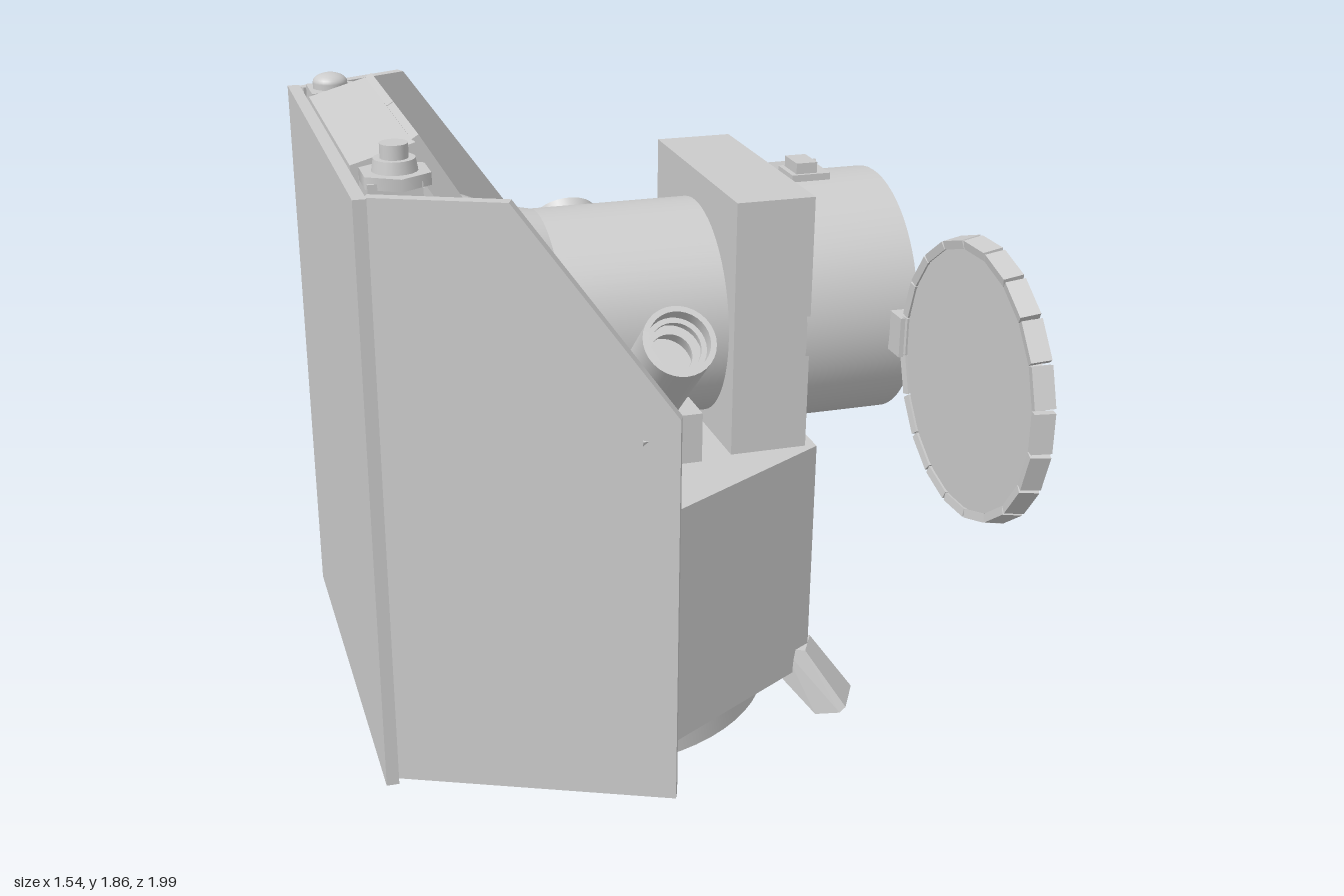
import * as THREE from 'three';
import { toCreasedNormals } from 'three/addons/utils/BufferGeometryUtils.js';
import { ConvexGeometry } from 'three/addons/geometries/ConvexGeometry.js';

const material = new THREE.MeshStandardMaterial({ color: 0xcccccc });
const thin = new THREE.MeshStandardMaterial({ color: 0xcccccc, side: THREE.DoubleSide });

export function createModel() {
  const model = new THREE.Group();
  const craft = new THREE.Group();
  craft.name = 'spaceTelescope';
  craft.position.z = -0.12; // symmetry plane of the craft
  model.add(craft);

  const add = (name, geometry, parent = craft, mat = material) => {
    const mesh = new THREE.Mesh(geometry, mat);
    mesh.name = name;
    parent.add(mesh);
    return mesh;
  };
  // box given by its extents
  const box = (name, x0, x1, y0, y1, z0, z1, parent) => {
    const mesh = add(name, new THREE.BoxGeometry(x1 - x0, y1 - y0, z1 - z0), parent);
    mesh.position.set((x0 + x1) / 2, (y0 + y1) / 2, (z0 + z1) / 2);
    return mesh;
  };
  const cylinder = (name, r0, r1, y0, y1, x, z, sides, parent) => {
    const geometry = new THREE.CylinderGeometry(r1, r0, y1 - y0, sides);
    const mesh = add(name, geometry, parent);
    mesh.position.set(x, (y0 + y1) / 2, z);
    return mesh;
  };
  const extrude = (points, depth) => new THREE.ExtrudeGeometry(
    new THREE.Shape(points.map(([x, y]) => new THREE.Vector2(x, y))),
    { depth, bevelEnabled: false });
  const lathe = (profile, sides) => toCreasedNormals(new THREE.LatheGeometry(
    profile.map(([r, y]) => new THREE.Vector2(r, y)), sides), 0.5);
  // square bar between two points
  const bar = (name, a, b, w, h, parent) => {
    const from = new THREE.Vector3(...a), to = new THREE.Vector3(...b);
    const mesh = add(name, new THREE.BoxGeometry(w, h, from.distanceTo(to)), parent);
    mesh.position.copy(from).lerp(to, 0.5);
    mesh.quaternion.setFromUnitVectors(new THREE.Vector3(0, 0, 1), to.sub(from).normalize());
    return mesh;
  };

  // Body: hexagonal front half that widens to meet the shield panels
  const half = [[0.49, 0.35], [-0.07, 0.67], [-0.07, 0.85], [-0.74, 0.57]];
  const outline = [...half, ...half.map(([x, z]) => [x, -z]).reverse()];
  const body = extrude(outline, 0.69);
  body.rotateX(-Math.PI / 2);
  add('body', body).position.y = 0.2;
  box('frontPanel', 0.48, 0.54, 0.34, 0.49, -0.075, 0.075);

  // Launch adapter ring with pins and connector box
  const adapter = add('adapterRing', lathe([[0, 0.06], [0.31, 0.06], [0.57, 0.11], [0.57, 0.21]], 64));
  adapter.position.x = -0.12;
  for (let i = 0; i < 4; i++) {
    const a = i * Math.PI / 2;
    cylinder('adapterPin', 0.018, 0.018, 0.006, 0.07,
      -0.12 + 0.28 * Math.cos(a), 0.28 * Math.sin(a), 12);
  }
  box('connectorBox', -0.37, -0.19, 0, 0.07, -0.3, -0.08);

  // Sun shield
  box('backPanel', -0.775, -0.742, 0.19, 1.76, -0.6, 0.6);
  for (const s of [1, -1]) {
    const side = new THREE.Group();
    side.name = s > 0 ? 'frontSide' : 'rearSide';
    side.scale.z = s;
    craft.add(side);

    const panel = add('sidePanel', extrude(
      [[0, 0.2], [0.73, 0.2], [0.73, 1.25], [0.335, 1.76], [0, 1.76]], 0.03), side);
    panel.position.set(-0.735, 0, 0.56);
    panel.rotation.y = -0.41;
    bar('shieldStrut', [-0.62, 1.73, 0.49], [-0.09, 0.88, 0.69], 0.045, 0.08, side);
    bar('shieldBrace', [-0.12, 0.88, 0.69], [-0.12, 1.2, 0.83], 0.08, 0.04, side);
    box('shieldBracket', -0.73, -0.6, 1.56, 1.775, 0.41, 0.54, side);

    // Equipment on the deck
    box('deckBox', -0.31, -0.08, 0.88, 1.01, 0.37, 0.6, side);
    box('trackerMount', -0.05, 0.155, 0.88, 1.03, 0.16, 0.36, side);

    // Star tracker: hollow tilted tube with baffle rings
    const tracker = add('starTracker', lathe([[0, 0], [0.095, 0], [0.095, 0.47], [0.08, 0.47],
      [0.08, 0.43], [0.066, 0.43], [0.066, 0.42], [0.08, 0.42], [0.08, 0.38], [0.055, 0.38],
      [0.055, 0.37], [0.075, 0.37], [0.075, 0.3], [0, 0.3]], 32), side, thin);
    tracker.position.set(0.02, 1.01, 0.215);
    tracker.rotation.x = 0.84;

    // Foot wedge on the body corner
    const leg = new THREE.Group();
    leg.name = 'legMount';
    leg.position.set(0.49, 0, 0.35);
    leg.rotation.y = -Math.PI / 6;
    side.add(leg);
    const corners = [[-0.06, 0.27, 0.05], [0, 0.27, 0.045], [0.125, 0.11, 0.06],
      [0.11, 0.095, 0.07], [0.04, 0.08, 0.07], [-0.06, 0.17, 0.05]];
    add('leg', new ConvexGeometry(corners.flatMap(([x, y, z]) =>
      [new THREE.Vector3(x, y, z), new THREE.Vector3(x, y, -z)])).toNonIndexed(), leg);
    if (s < 0) {
      cylinder('footCap', 0.03, 0.055, 0.06, 0.1, 0.03, 0, 20, leg);
      cylinder('footStem', 0.032, 0.032, 0.03, 0.07, 0.03, 0, 20, leg);
    }
  }

  // Antennas on the shield corners
  cylinder('antennaBase', 0.09, 0.09, 1.76, 1.79, -0.655, 0.48, 6);
  cylinder('antennaBody', 0.055, 0.05, 1.79, 1.82, -0.655, 0.48, 20);
  cylinder('antennaTip', 0.034, 0.034, 1.82, 1.855, -0.655, 0.48, 20);
  cylinder('domeBase', 0.048, 0.048, 1.76, 1.79, -0.67, -0.48, 24);
  const dome = add('antennaDome', new THREE.SphereGeometry(0.048, 24, 8, 0, Math.PI * 2, 0, Math.PI / 2));
  dome.position.set(-0.67, 1.79, -0.48);
  dome.scale.y = 0.55;

  // Radiator wedge with two sloping plates
  const radiator = add('radiator', extrude(
    [[-0.74, 1.5], [-0.5, 1.5], [-0.44, 1.59], [-0.58, 1.815], [-0.74, 1.77]], 0.74));
  radiator.position.z = -0.4;
  for (const z of [-0.208, 0.148]) {
    const plate = add('radiatorPlate', new THREE.BoxGeometry(0.02, 0.28, 0.35));
    plate.position.set(-0.503, 1.705, z);
    plate.rotation.z = 0.555;
  }
  box('telescopeBase', -0.74, -0.42, 0.88, 1.54, -0.33, 0.33);

  // Telescope, axis along x
  const telescope = new THREE.Group();
  telescope.name = 'telescope';
  telescope.position.y = 1.21;
  craft.add(telescope);
  const alongX = (geometry) => geometry.rotateZ(-Math.PI / 2);
  add('mainTube', alongX(new THREE.CylinderGeometry(0.3, 0.3, 0.48, 64)), telescope).position.x = 0.03;

  // Flare: round section changing into a rounded square
  const N = 64, positions = [], index = [];
  for (let j = 0; j <= 4; j++) {
    const t = j / 4;
    for (let i = 0; i <= N; i++) {
      const a = i / N * Math.PI * 2, c = Math.cos(a), s = Math.sin(a);
      const square = Math.min(0.335 / Math.max(Math.abs(c), Math.abs(s)), 0.41);
      const r = 0.3 + (square - 0.3) * t;
      positions.push(-0.2 - 0.24 * t, r * s, r * c);
      if (j < 4 && i < N) {
        const k = j * (N + 1) + i;
        index.push(k, k + 1, k + N + 1, k + 1, k + N + 2, k + N + 1);
      }
    }
  }
  const flare = new THREE.BufferGeometry();
  flare.setAttribute('position', new THREE.Float32BufferAttribute(positions, 3));
  flare.setIndex(index);
  flare.computeVertexNormals();
  add('tubeFlare', flare, telescope, thin);
  box('tubeCollar', 0.245, 0.46, 0.88, 1.595, -0.34, 0.34);

  // Front baffle with stepped inside rings
  add('frontBaffle', alongX(lathe([[0.345, 0.45], [0.345, 0.77], [0.325, 0.77], [0.325, 0.72],
    [0.26, 0.71], [0.26, 0.7], [0.31, 0.69], [0.31, 0.61], [0.23, 0.6], [0.23, 0.59], [0.29, 0.58],
    [0.29, 0.53], [0.2, 0.52], [0.2, 0.48], [0, 0.48]], 64)), telescope, thin);

  // Latch parts on top of the baffle
  const latch = new THREE.Group();
  latch.name = 'latch';
  latch.rotation.x = -0.5;
  telescope.add(latch);
  box('latchPlate', 0.5, 0.64, 0.32, 0.365, -0.08, 0.08, latch);
  box('latchBlock', 0.525, 0.585, 0.33, 0.39, -0.05, 0.04, telescope);
  box('latchBar', 0.51, 0.62, 0.33, 0.36, -0.06, 0.05, telescope);

  // Open cover with a segmented rim
  box('coverHinge', 0.69, 0.75, -0.06, 0.05, 0.33, 0.41, telescope);
  const cover = new THREE.Group();
  cover.name = 'cover';
  cover.position.set(0.735, 0, 0.75);
  cover.rotation.y = 0.02;
  telescope.add(cover);
  add('coverDisc', alongX(new THREE.CylinderGeometry(0.345, 0.335, 0.025, 60)), cover).position.x = -0.005;
  for (let i = 0; i < 20; i++) {
    const spoke = new THREE.Group();
    spoke.name = 'rimSegment';
    spoke.rotation.x = i / 20 * Math.PI * 2;
    cover.add(spoke);
    const block = add('rimBlock', new THREE.BoxGeometry(0.052, 0.022, 0.103), spoke);
    block.position.y = 0.347;
    block.rotation.z = 0.18;
  }
  return model;
}
